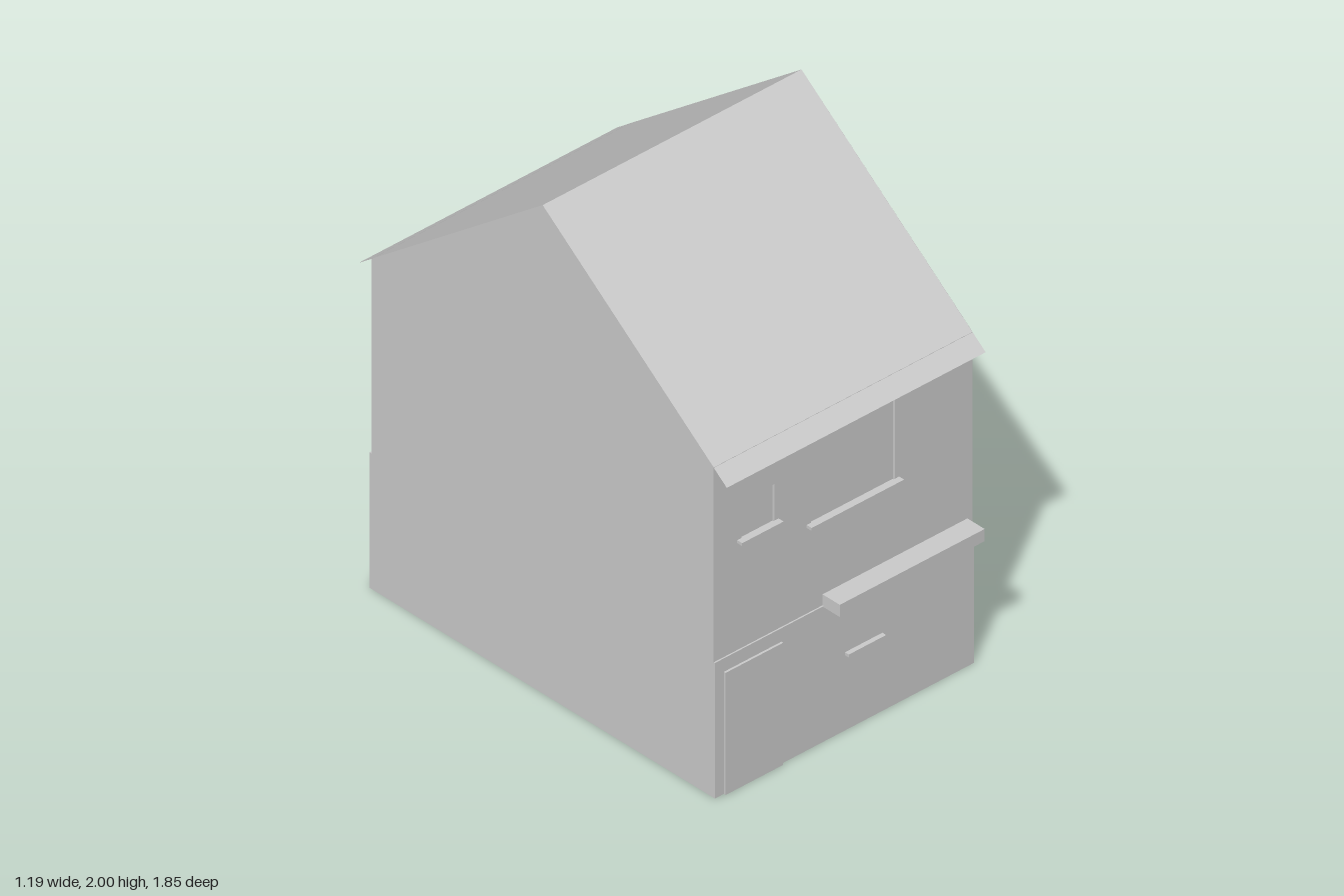
import * as THREE from 'three';

const W = 0.596;                        // half width
const FRONT = 0.84, BACK = -0.86;       // upper wall planes
const FRONT_LOW = 0.846, BACK_LOW = -0.87; // thicker ground storey
const BAND = 0.555, WALL_TOP = 1.353, RIDGE = 2, RIDGE_Z = -0.01;

export function createModel() {
  const house = new THREE.Group();
  house.name = 'house';
  const mat = new THREE.MeshStandardMaterial({ color: 0xcccccc, flatShading: true, side: THREE.DoubleSide });

  const add = (name, geo, parent = house) => {
    const mesh = new THREE.Mesh(geo, mat);
    mesh.name = name;
    parent.add(mesh);
    return mesh;
  };

  // thin four-cornered sheet, corners anticlockwise seen from outside
  const sheet = (name, a, b, c, d, parent) => {
    const geo = new THREE.BufferGeometry();
    geo.setAttribute('position', new THREE.Float32BufferAttribute([a, b, c, a, c, d].flat(), 3));
    geo.computeVertexNormals();
    return add(name, geo, parent);
  };

  // box between two corners
  const box = (name, x0, x1, y0, y1, z0, z1, parent) => {
    const mesh = add(name, new THREE.BoxGeometry(x1 - x0, y1 - y0, Math.abs(z1 - z0)), parent);
    mesh.position.set((x0 + x1) / 2, (y0 + y1) / 2, (z0 + z1) / 2);
    return mesh;
  };

  const rect = (path, x0, x1, y0, y1) =>
    path.moveTo(x0, y0).lineTo(x1, y0).lineTo(x1, y1).lineTo(x0, y1).closePath();

  // long wall: upper sheet with window openings, ledge and thicker lower sheet
  function longWall(name, z, zLow, windows) {
    const s = Math.sign(z);
    const group = new THREE.Group();
    group.name = name;
    house.add(group);
    const shape = rect(new THREE.Shape(), -W, W, BAND, WALL_TOP);
    for (const [x0, x1, y0, y1] of windows) shape.holes.push(rect(new THREE.Path(), x0, x1, y0, y1));
    const upper = new THREE.ShapeGeometry(shape);
    if (s < 0) upper.scale(-1, 1, 1).rotateY(Math.PI);
    upper.translate(0, 0, z);
    add('upperWall', upper, group);
    sheet('ledge', [-W * s, BAND, zLow], [W * s, BAND, zLow], [W * s, BAND, z], [-W * s, BAND, z], group);
    sheet('lowerWall', [-W * s, 0, zLow], [W * s, 0, zLow], [W * s, BAND, zLow], [-W * s, BAND, zLow], group);

    // shallow recess, pane and sill of each window
    for (const [x0, x1, y0, y1] of windows) {
      const zi = z - s * 0.01;
      const corners = s > 0
        ? [[x0, y0], [x1, y0], [x1, y1], [x0, y1]]
        : [[x1, y0], [x0, y0], [x0, y1], [x1, y1]];
      sheet('windowPane', ...corners.map(([x, y]) => [x, y, zi]), group);
      corners.forEach(([ax, ay], i) => {
        const [bx, by] = corners[(i + 1) % 4];
        sheet('windowReveal', [ax, ay, z], [bx, by, z], [bx, by, zi], [ax, ay, zi], group);
      });
      box('windowSill', x0 - 0.02, x1 + 0.02, y0 - 0.007, y0 + 0.005, z, z + s * 0.025, group);
    }
  }

  longWall('frontWall', FRONT, FRONT_LOW, [[-0.468, -0.317, 1.0, 1.155], [-0.148, 0.238, 0.913, 1.28]]);
  longWall('backWall', BACK, BACK_LOW, [[0.1, 0.405, 0.88, 1.21], [-0.41, -0.095, 0.88, 1.21]]);

  // gable walls, following the thicker ground storey
  const profile = [
    [FRONT_LOW, 0], [FRONT_LOW, BAND], [FRONT, BAND], [FRONT, WALL_TOP], [RIDGE_Z, RIDGE],
    [BACK, WALL_TOP], [BACK, BAND], [BACK_LOW, BAND], [BACK_LOW, 0],
  ].map(([z, y]) => new THREE.Vector2(-z, y));
  for (const side of [1, -1]) {
    const geo = new THREE.ShapeGeometry(new THREE.Shape(profile)).rotateY(Math.PI / 2);
    if (side < 0) geo.setIndex([...geo.index.array].reverse());
    geo.computeVertexNormals();
    geo.translate(side * W, 0, 0);
    add(side > 0 ? 'leftGable' : 'rightGable', geo);
  }

  // thin roof slopes overhanging at the eaves
  sheet('frontRoof', [-W, 1.302, 0.905], [W, 1.302, 0.905], [W, RIDGE, RIDGE_Z], [-W, RIDGE, RIDGE_Z]);
  sheet('backRoof', [W, 1.302, -0.926], [-W, 1.302, -0.926], [-W, RIDGE, RIDGE_Z], [W, RIDGE, RIDGE_Z]);

  // doors
  box('frontDoor', -0.555, -0.29, 0, 0.5, FRONT, 0.855);
  box('backDoor', -0.365, -0.09, 0, 0.5, BACK, -0.878);

  // canopy and ground floor sills
  box('canopy', -0.095, 0.572, 0.55, 0.6, FRONT, 0.926);
  box('frontLowerSill', 0.003, 0.175, 0.308, 0.32, FRONT, 0.865);
  box('backLowerSill', -0.01, 0.485, 0.185, 0.197, BACK, -0.887);

  return house;
}
